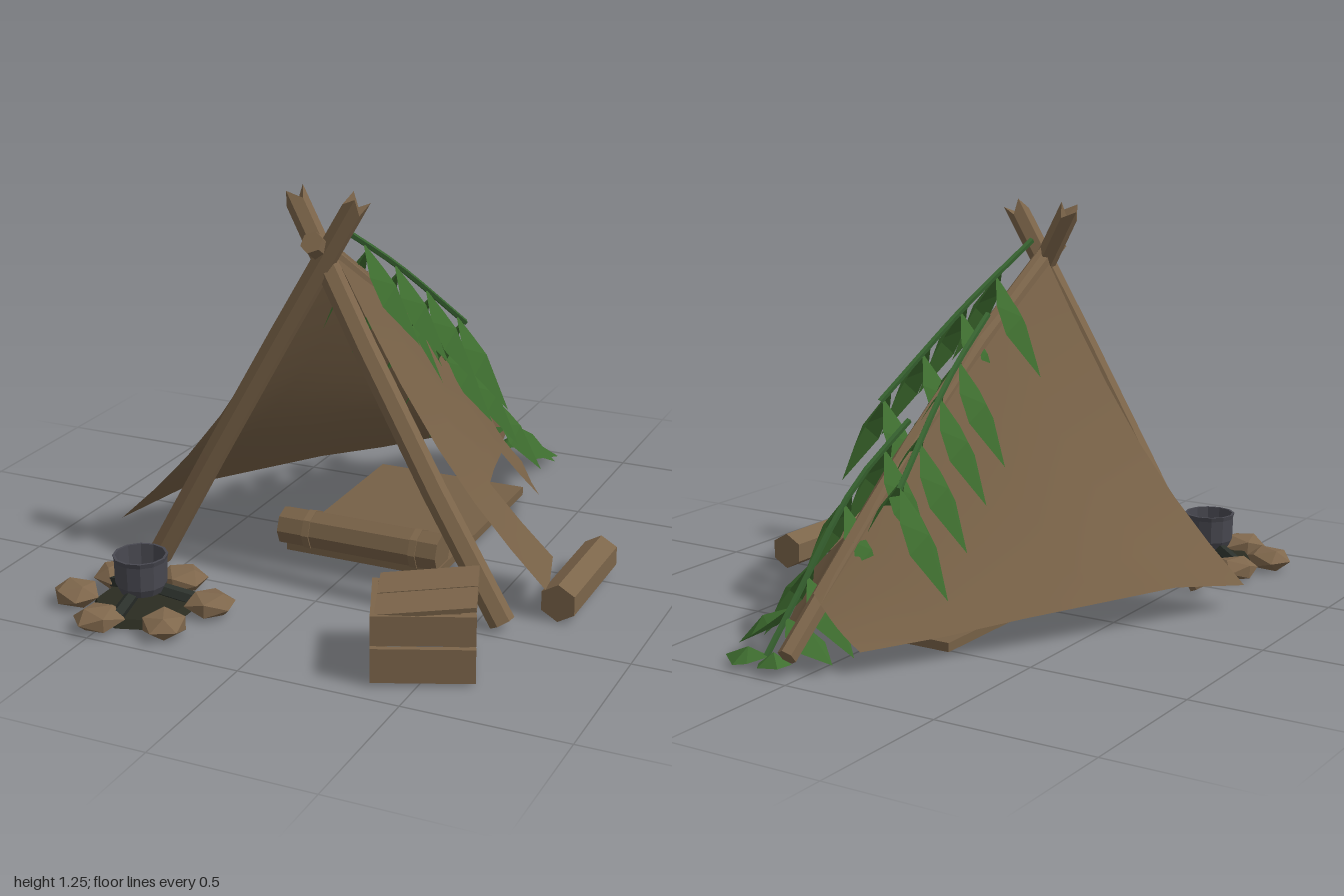
import * as THREE from 'three';

const V = (x, y, z) => new THREE.Vector3(x, y, z);
const mat = (name, color, side = THREE.FrontSide) =>
  Object.assign(new THREE.MeshStandardMaterial({ color, side }), { name });

export function createModel() {
  const model = new THREE.Group();
  model.name = 'forestCamp';
  const wood = mat('wood', 0x7c654a);
  const canvas = mat('canvas', 0x766046, THREE.DoubleSide);
  const stone = mat('stone', 0x7f674c);
  const leafGreen = mat('leafGreen', 0x3f6f30, THREE.DoubleSide);
  const stemGreen = mat('stemGreen', 0x376330);
  const iron = mat('iron', 0x484850, THREE.DoubleSide);
  const ash = mat('ash', 0x2b2c21);
  const charred = mat('charredWood', 0x2b302b);

  const group = (name, parent = model) => {
    const g = new THREE.Group();
    g.name = name;
    parent.add(g);
    return g;
  };
  const add = (parent, name, geo, material, smooth = false) => {
    const g = !smooth && geo.index ? geo.toNonIndexed() : geo;
    g.computeVertexNormals();
    const m = new THREE.Mesh(g, material);
    m.name = name;
    parent.add(m);
    return m;
  };
  // Capped, faceted rod following a curve; fray notches the far end
  const rod = (pts, r0, r1, sides = 6, segs = 3, fray = 0) => {
    const geo = new THREE.CylinderGeometry(r1, r0, 1, sides, segs);
    const curve = new THREE.CatmullRomCurve3(pts);
    const dir = pts[pts.length - 1].clone().sub(pts[0]).normalize();
    const q = new THREE.Quaternion().setFromUnitVectors(V(0, 1, 0), dir);
    const p = geo.attributes.position;
    for (let i = 0; i < p.count; i++) {
      const x = p.getX(i), z = p.getZ(i), t = THREE.MathUtils.clamp(p.getY(i) + 0.5, 0, 1);
      const o = V(x, 0, z).applyQuaternion(q).add(curve.getPoint(t));
      const corner = Math.round((Math.atan2(x, z) / Math.PI / 2) * sides);
      if (t > 0.99 && (Math.hypot(x, z) < 0.001 || corner % 2)) o.addScaledVector(dir, -fray);
      p.setXYZ(i, o.x, o.y, o.z);
    }
    return geo;
  };

  // Frame: two crossed front poles and a ridge pole
  const ridge = (z, lift = 0) => {
    const t = (0.43 - z) / 1.38;
    return V(-0.035 + 0.075 * t, 1.11 - 1.06 * t + 0.06 * Math.sin(Math.PI * t) + lift, z);
  };
  const frame = group('frame');
  add(frame, 'rightFrontPole', rod([V(-0.585, 0.02, 0.44), V(-0.28, 0.58, 0.41), V(0.09, 1.24, 0.365)], 0.04, 0.036, 6, 3, 0.04), wood);
  add(frame, 'leftFrontPole', rod([V(0.585, 0.02, 0.44), V(0.24, 0.58, 0.405), V(-0.14, 1.24, 0.345)], 0.04, 0.036, 6, 3, 0.04), wood);
  add(frame, 'ridgePole', rod([0.43, 0, -0.45, -0.94].map((z) => ridge(z)), 0.036, 0.03), wood);

  // Tarp panels: each row is [z, bottomX, bottomY, cells kept in the strip before it]
  const tarp = group('tarp');
  const panel = (name, rows) => {
    const n = 6, pos = [], idx = [];
    rows.forEach(([z, bx, by, keep = n], r) => {
      const top = ridge(z, 0.05);
      for (let j = 0; j <= n; j++) {
        const v = j / n;
        const sag = 0.1 * (top.y - by) * Math.sin(Math.PI * v);
        pos.push(top.x + (bx - top.x) * v, top.y + (by - top.y) * v - sag, z);
        if (r && j && j <= keep) {
          const a = (r - 1) * (n + 1) + j - 1, b = a + n + 1;
          idx.push(a, a + 1, b, a + 1, b + 1, b);
        }
      }
    });
    const geo = new THREE.BufferGeometry();
    geo.setAttribute('position', new THREE.Float32BufferAttribute(pos, 3));
    geo.setIndex(idx);
    add(tarp, name, geo, canvas, true);
  };
  panel('rightPanel', [[0.34, -0.78, 0.08], [0.08, -0.67, 0.12], [-0.15, -0.54, 0.11],
    [-0.38, -0.41, 0.1], [-0.6, -0.27, 0.08], [-0.82, -0.13, 0.07]]);
  panel('leftPanel', [[0.335, 0.69, 0.09], [0.1, 0.62, 0.1], [-0.1, 0.52, 0.1, 4],
    [-0.33, 0.42, 0.11, 4], [-0.5, 0.33, 0.08], [-0.7, 0.22, 0.07], [-0.82, 0.13, 0.06]]);

  // Vines with broad, folded, drooping leaves
  const vines = group('vines');
  const leaf = (base, dir, across, half) => {
    const len = dir.length(), d = dir.clone().normalize();
    const w = across.clone().addScaledVector(d, -across.dot(d)).normalize();
    const up = w.clone().cross(d).normalize();
    if (up.y < 0) up.negate();
    const at = (l, s, h) => base.clone().addScaledVector(d, l * len).addScaledVector(w, s * half).addScaledVector(up, h);
    const B = at(0, 0, 0), M = at(0.45, 0, 0.028), T = at(1, 0, 0);
    const pts = [];
    for (const s of [-1, 1]) {
      const a = at(0.28, s * 0.8, -0.01), b = at(0.55, s, -0.012);
      pts.push(B, M, a, a, M, b, b, M, T);
    }
    add(vines, 'leaf', new THREE.BufferGeometry().setFromPoints(pts), leafGreen);
  };
  const vine = (pts, ts) => {
    const curve = new THREE.CatmullRomCurve3(pts);
    add(vines, 'stem', new THREE.TubeGeometry(curve, 8, 0.01, 5), stemGreen);
    for (const t of ts) for (const s of [-1, 1]) {
      const p = curve.getPoint(Math.min(1, t + (s < 0 ? 0.05 : 0)));
      const drop = Math.min(-0.02, Math.max(-0.31, 0.03 - p.y));
      leaf(p, V(s * 0.18, drop, -0.02), V(0, 0, 1), 0.066);
    }
  };
  vine([V(-0.03, 1.13, 0.28), V(0.05, 0.94, 0), V(0.15, 0.68, -0.32)], [0.22, 0.47, 0.7, 0.93]);
  vine([V(-0.02, 0.92, 0.03), V(-0.04, 0.76, -0.22), V(-0.1, 0.49, -0.58)], [0.33, 0.55, 0.75, 0.94]);
  vine([V(0, 0.65, -0.38), V(0.06, 0.48, -0.58), V(0.11, 0.2, -0.79), V(0.13, 0.04, -0.92)], [0.1, 0.34, 0.56, 0.74]);
  leaf(V(0.13, 0.04, -0.9), V(-0.08, -0.01, -0.07), V(1, 0, -1), 0.05);
  leaf(V(0.12, 0.04, -0.92), V(0.16, -0.02, 0), V(0, 0, 1), 0.06);

  // Sleeping mat with its rolled end and straps
  const bed = group('bedroll');
  add(bed, 'mat', new THREE.BoxGeometry(0.53, 0.028, 0.75), canvas).position.set(0.02, 0.026, -0.165);
  const alongX = (x0, x1, r) => rod([V(x0, 0.08, 0.17), V(x1, 0.08, 0.17)], r, r, 8, 1);
  add(bed, 'roll', alongX(-0.27, 0.28, 0.062), canvas);
  for (const x of [-0.17, 0.2]) add(bed, 'strap', alongX(x - 0.012, x + 0.012, 0.066), wood);

  // Log seat
  add(model, 'logSeat', rod([V(0.72, 0.063, 0.335), V(0.72, 0.063, -0.07)], 0.06, 0.06, 6, 1), wood);

  // Slatted crate with a loose, tilted lid, open underneath
  const crate = group('crate');
  crate.position.set(0.465, 0, 0.755);
  crate.rotation.y = 0.4;
  const box = (name, w, h, d, x, y, z) => {
    const m = add(crate, name, new THREE.BoxGeometry(w, h, d), wood);
    m.position.set(x, y, z);
    return m;
  };
  for (const s of [-1, 1]) {
    for (const [y, h] of [[0.063, 0.104], [0.17, 0.09]]) {
      box('longSlat', 0.295, h, 0.018, 0, y, s * 0.117);
      box('shortSlat', 0.018, h, 0.216, s * 0.138, y, 0);
    }
    for (const k of [-1, 1]) box('cornerPost', 0.025, 0.195, 0.025, s * 0.117, 0.112, k * 0.096);
  }
  const lid = group('lid', crate);
  lid.position.set(0.012, 0.236, 0.01);
  lid.rotation.set(0.1, -0.06, 0.13);
  for (const s of [-1, 1])
    lid.add(box('lidBoard', 0.285, 0.014, 0.114, 0, 0, s * 0.059));

  // Campfire: ash bed, charred logs, ring of stones and a bottomless pot
  const fire = group('campfire');
  fire.position.set(-0.455, 0, 0.76);
  add(fire, 'ashBed', new THREE.CylinderGeometry(0.14, 0.155, 0.025, 10), ash).position.y = 0.015;
  for (const a of [1.57, -0.4, 3.6])
    add(fire, 'charredLog', rod([V(Math.cos(a) * 0.155, 0.035, Math.sin(a) * 0.155), V(0, 0.085, 0)], 0.022, 0.02, 5, 1), charred);
  [[0.04, -0.175], [-0.155, -0.12], [-0.2, 0.05], [-0.045, 0.17], [0.15, 0.125], [0.205, -0.05]].forEach(([x, z], i) => {
    const s = add(fire, 'stone', new THREE.IcosahedronGeometry(0.078, 0), stone);
    s.scale.set(1.05, 0.52, 0.95);
    s.position.set(x, 0.036, z);
    s.rotation.y = i * 1.3;
  });
  const profile = [[0.066, 0.065], [0.078, 0.09], [0.08, 0.165], [0.084, 0.18], [0.076, 0.18], [0.072, 0.09], [0.066, 0.065]];
  add(fire, 'pot', new THREE.LatheGeometry(profile.map(([x, y]) => new THREE.Vector2(x, y)), 12), iron);

  return model;
}
